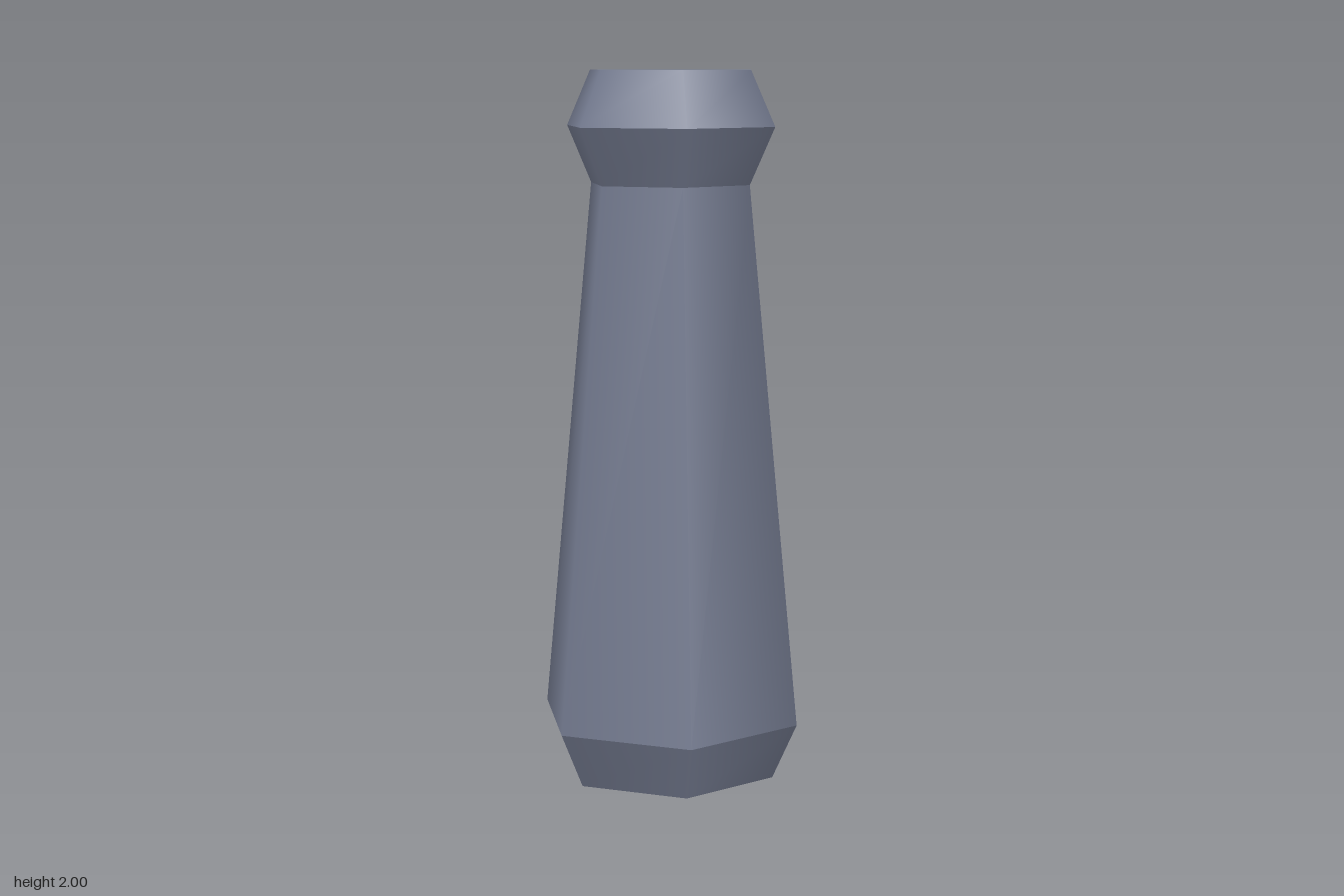
import * as THREE from 'three';

export function createModel() {
  const group = new THREE.Group();
  group.name = 'hexagonalHandle';
  const slate = new THREE.MeshStandardMaterial({ color: 0x747b90 });
  slate.name = 'slate grey';

  // Hexagonal bands, smooth around and sharp between: name, y0, y1, r0, r1
  const bands = [
    ['baseBevel', 0, 0.16, 0.315, 0.387],
    ['shaft', 0.16, 1.685, 0.387, 0.238],
    ['pommelLower', 1.685, 1.845, 0.238, 0.311],
    ['pommelUpper', 1.845, 2, 0.311, 0.24],
  ];
  for (const [name, y0, y1, r0, r1] of bands) {
    const mesh = new THREE.Mesh(new THREE.CylinderGeometry(r1, r0, y1 - y0, 6, 1, true), slate);
    mesh.position.y = (y0 + y1) / 2;
    mesh.name = name;
    group.add(mesh);
  }

  // Flat end caps, with corners on the z axis
  const addCap = (name, radius, y, tilt) => {
    const cap = new THREE.Mesh(new THREE.CircleGeometry(radius, 6, Math.PI / 2), slate);
    cap.rotation.x = tilt;
    cap.position.y = y;
    cap.name = name;
    group.add(cap);
  };
  addCap('topCap', 0.24, 2, -Math.PI / 2);
  addCap('bottomCap', 0.315, 0, Math.PI / 2);

  return group;
}
